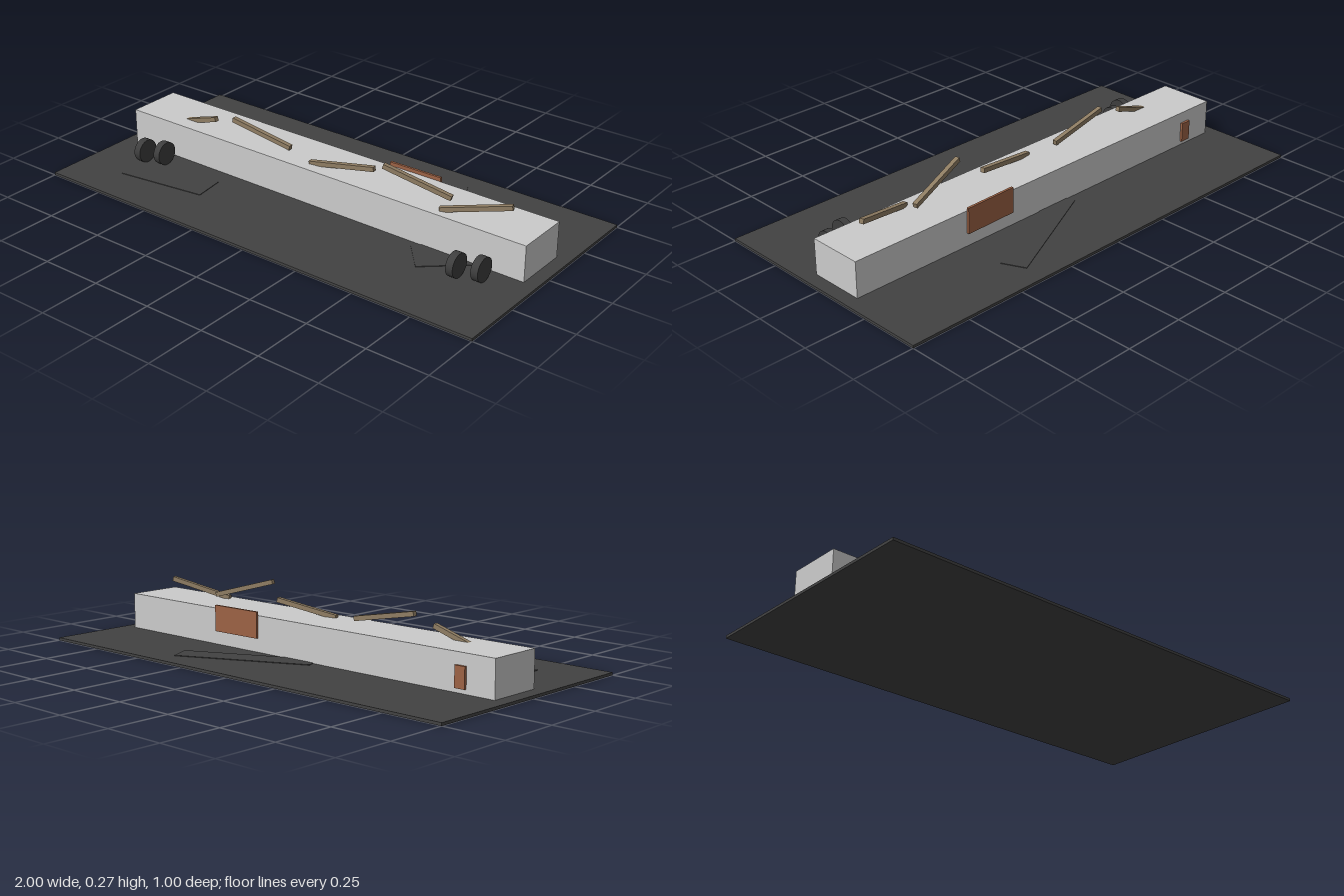
import * as THREE from 'three';

export function createModel() {
  const model = new THREE.Group();
  const mat = (name, color) => {
    const m = new THREE.MeshStandardMaterial({ color });
    m.name = name;
    return m;
  };
  const asphalt = mat('asphalt', 0x424242);
  const rubber = mat('rubber', 0x3e3e3e);
  const concrete = mat('concrete', 0xcbcbcb);
  const wood = mat('wood', 0x8f7d63);
  const rust = mat('rust', 0x9c6245);

  const add = (name, geometry, material, x, y, z) => {
    const mesh = new THREE.Mesh(geometry, material);
    mesh.name = name;
    mesh.position.set(x, y, z);
    model.add(mesh);
    return mesh;
  };
  const box = (name, w, h, d, material, x, y, z) =>
    add(name, new THREE.BoxGeometry(w, h, d), material, x, y, z);

  // Ground slab and the long block on it
  box('ground', 2, 0.011, 1, asphalt, 0, 0.0055, 0);
  box('block', 1.89, 0.148, 0.228, concrete, 0, 0.083, -0.031);

  // Thin patches on the ground: x, z, length, width, turn
  [
    [-0.6, 0.25, 0.38, 0.13, 0.135],
    [0.62, 0.09, 0.24, 0.16, 0.72],
    [0.16, -0.25, 0.55, 0.1, 0.44],
  ].forEach(([x, z, length, width, turn]) => {
    box('groundPatch', length, 0.004, width, asphalt, x, 0.0115, z).rotation.y = turn;
  });

  // Loose wheels in pairs, axles along x
  const wheel = new THREE.CylinderGeometry(0.048, 0.048, 0.03, 32).rotateZ(Math.PI / 2);
  [[-0.787, 0.194], [-0.708, 0.165], [0.732, 0.194], [0.818, 0.165]].forEach(([x, z]) =>
    add('wheel', wheel, rubber, x, 0.059, z));

  // Tilted planks on top, each from one end to the other
  [
    [[-0.81, 0.118, 0.01], [-0.556, 0.196, 0.01]],
    [[-0.456, 0.226, 0.017], [-0.178, 0.175, 0]],
    [[-0.056, 0.159, 0.03], [0.222, 0.2, -0.01]],
    [[0.3, 0.257, 0.04], [0.566, 0.182, -0.02]],
    [[0.558, 0.161, 0.045], [0.82, 0.221, -0.03]],
  ].forEach(([a, b]) => {
    const start = new THREE.Vector3(...a);
    const end = new THREE.Vector3(...b);
    const dir = end.clone().sub(start);
    const mid = start.add(end).multiplyScalar(0.5);
    const plank = box('plank', dir.length(), 0.019, 0.019, wood, mid.x, mid.y, mid.z);
    plank.rotation.order = 'YZX';
    plank.rotation.y = -Math.atan2(dir.z, dir.x);
    plank.rotation.z = Math.atan2(dir.y, Math.hypot(dir.x, dir.z));
  });

  // Rusty plates against the back
  box('largePlate', 0.23, 0.106, 0.01, rust, 0.315, 0.119, -0.15).rotation.y = 0.02;
  box('smallPlate', 0.045, 0.082, 0.012, rust, -0.8, 0.07, -0.149);

  return model;
}
